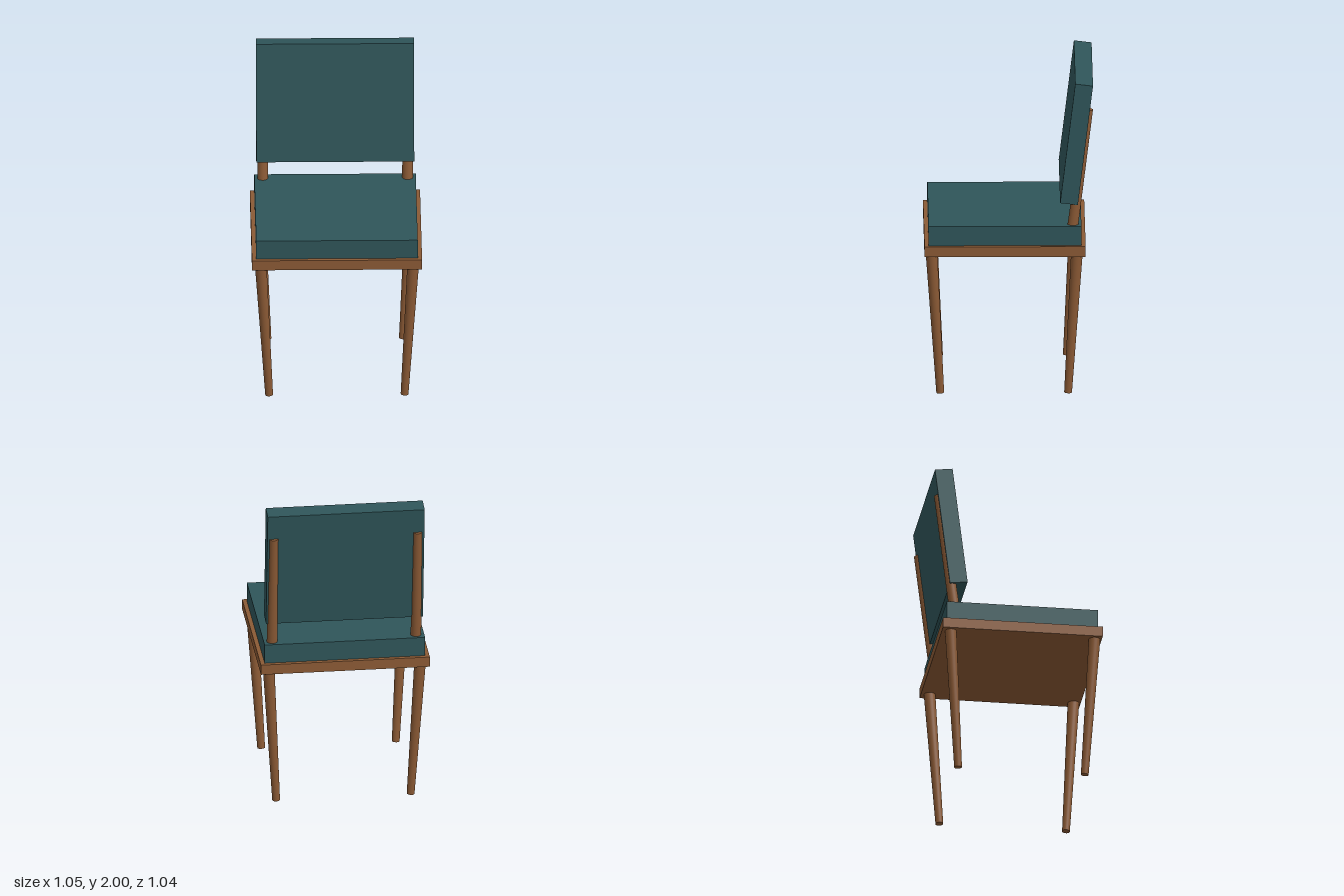
import * as THREE from 'three';

const wood = new THREE.MeshStandardMaterial({ color: 0x8b5a35 });
const fabric = new THREE.MeshStandardMaterial({ color: 0x2f5559 });

function box(name, material, size, position) {
  const mesh = new THREE.Mesh(new THREE.BoxGeometry(...size), material);
  mesh.name = name;
  mesh.position.set(...position);
  return mesh;
}

// Tapered round rod between two points
function rod(name, bottom, top, bottomRadius, topRadius) {
  const a = new THREE.Vector3(...bottom);
  const axis = new THREE.Vector3(...top).sub(a);
  const geometry = new THREE.CylinderGeometry(topRadius, bottomRadius, axis.length(), 24);
  const mesh = new THREE.Mesh(geometry, wood);
  mesh.name = name;
  mesh.position.copy(a).addScaledVector(axis, 0.5);
  mesh.quaternion.setFromUnitVectors(new THREE.Vector3(0, 1, 0), axis.normalize());
  return mesh;
}

export function createModel() {
  const chair = new THREE.Group();
  chair.name = 'chair';

  // Seat board and cushion
  chair.add(box('seatFrame', wood, [1.05, 0.065, 0.995], [0, 0.934, 0.0225]));
  chair.add(box('seatCushion', fabric, [0.997, 0.123, 0.943], [0, 1.028, 0.0225]));

  // Backrest pad, leaning backwards
  const pad = box('backrest', fabric, [0.975, 0.77, 0.11], [0, 1.611, -0.419]);
  pad.rotation.x = -0.122;
  chair.add(pad);

  for (const side of [1, -1]) {
    const label = side > 0 ? 'Left' : 'Right';
    // Splayed legs, thinner at the floor
    chair.add(rod('front' + label + 'Leg', [side * 0.418, 0.002, 0.422], [side * 0.47, 0.91, 0.476], 0.024, 0.036));
    chair.add(rod('rear' + label + 'Leg', [side * 0.418, 0.002, -0.367], [side * 0.47, 0.91, -0.421], 0.024, 0.036));
    // Posts holding the backrest
    chair.add(rod('back' + label + 'Post', [side * 0.447, 0.95, -0.379], [side * 0.447, 1.828, -0.493], 0.034, 0.028));
  }
  return chair;
}
